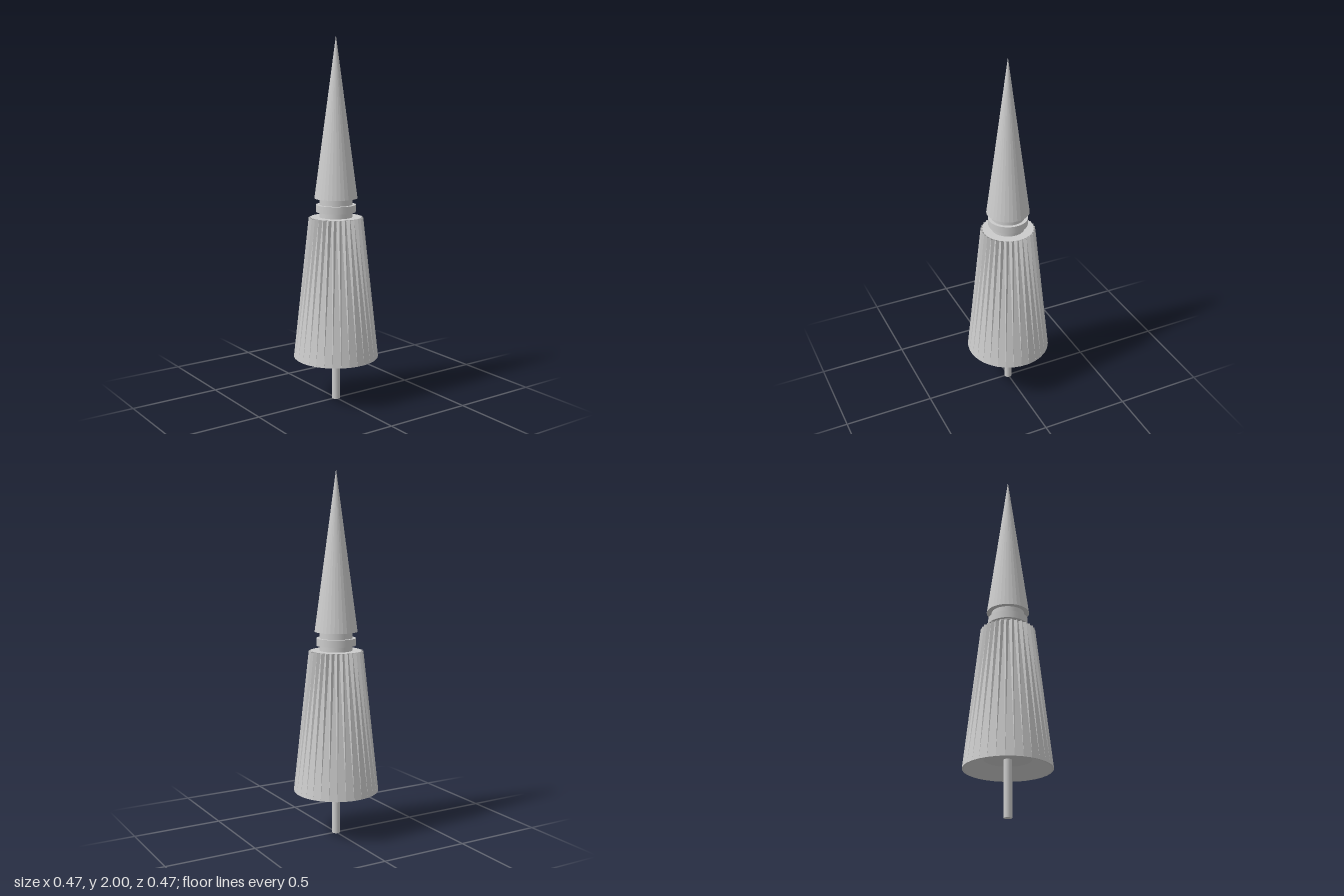
import * as THREE from 'three';

const SIDES = 32;

export function createModel() {
  const group = new THREE.Group();
  const flat = new THREE.MeshStandardMaterial({ color: 0xcccccc, flatShading: true, side: THREE.DoubleSide });
  const smooth = new THREE.MeshStandardMaterial({ color: 0xcccccc });

  function add(name, geometry, material) {
    const mesh = new THREE.Mesh(geometry, material);
    mesh.name = name;
    group.add(mesh);
    return mesh;
  }
  function drum(name, rTop, rBottom, y0, y1, material = smooth, sides = SIDES) {
    const mesh = add(name, new THREE.CylinderGeometry(rTop, rBottom, y1 - y0, sides), material);
    mesh.position.y = (y0 + y1) / 2;
    return mesh;
  }

  // Stick running up into the recessed underside
  drum('stick', 0.022, 0.022, 0, 0.32, smooth, 16);

  // Pleated skirt: a round hem whose folds deepen towards the top
  add('pleatedSkirt', pleats(0.235, 0.25, 0.149, 0.134, 1.03), flat);

  // Flat cap closing the skirt
  const cap = add('skirtCap', new THREE.CircleGeometry(0.14, SIDES), flat);
  cap.rotation.x = -Math.PI / 2;
  cap.position.y = 1.032;

  // Underside: thin rim, sloping wall and a flat centre
  const under = [[0.235, 0.25], [0.225, 0.25], [0.125, 0.3], [0, 0.3]];
  const underside = new THREE.LatheGeometry(under.map(([r, y]) => new THREE.Vector2(r, y)), SIDES, Math.PI / SIDES);
  add('recessedUnderside', underside, flat);

  // Neck with a raised ring
  drum('neck', 0.09, 0.09, 1.03, 1.14);
  drum('neckRing', 0.108, 0.108, 1.06, 1.1);

  // Pointed top
  const tip = add('pointedTop', new THREE.ConeGeometry(0.117, 0.865, SIDES), flat);
  tip.position.y = 1.135 + 0.865 / 2;

  return group;
}

// Each fold has two slanted faces around its ridge and one flat panel beside it
function pleats(rHem, yHem, rRidge, rValley, yTop) {
  const positions = [];
  const step = (Math.PI * 2) / SIDES;
  const point = (r, y, turn) => [r * Math.sin(turn * step), y, r * Math.cos(turn * step)];
  for (let i = 0; i < SIDES; i++) {
    const t = i + 0.5;
    const hem = point(rHem, yHem, t);
    const nextHem = point(rHem, yHem, t + 1);
    const ridge = point(rRidge, yTop, t);
    const before = point(rValley, yTop, t - 0.5);
    const after = point(rValley, yTop, t + 0.5);
    positions.push(...hem, ...ridge, ...before);
    positions.push(...hem, ...after, ...ridge);
    positions.push(...hem, ...nextHem, ...after);
  }
  const geometry = new THREE.BufferGeometry();
  geometry.setAttribute('position', new THREE.Float32BufferAttribute(positions, 3));
  geometry.computeVertexNormals();
  return geometry;
}
